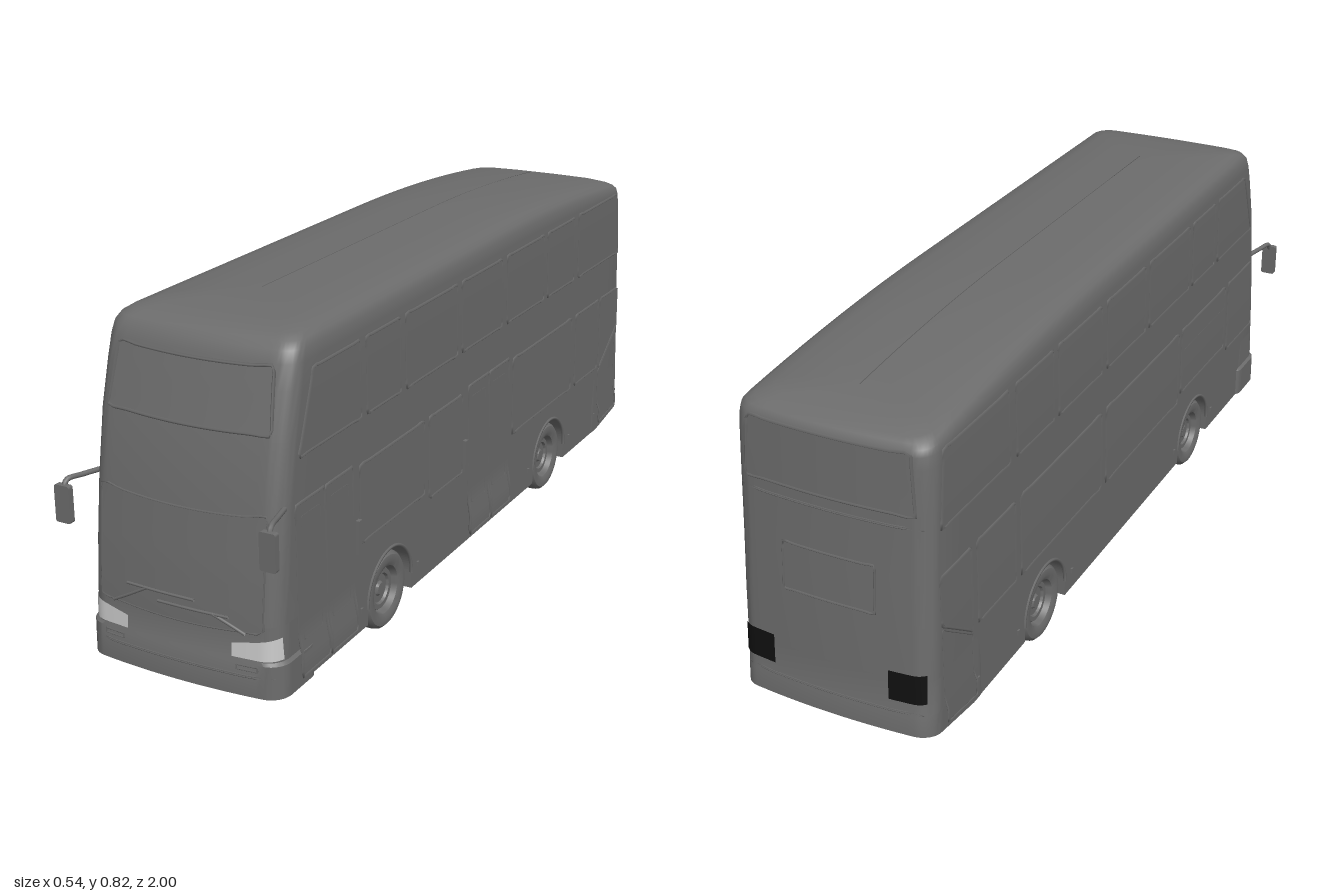
import * as THREE from 'three';
import { toCreasedNormals } from 'three/addons/utils/BufferGeometryUtils.js';

const paint = (color) => new THREE.MeshStandardMaterial({ color, side: THREE.DoubleSide });
const clamp = THREE.MathUtils.clamp;

// Body profile, bottom to roof ridge: [y, front z, back z, half width]
const PROFILE = [
  [0.055, 0.967, -1.0, 0.243], [0.13, 0.965, -0.997, 0.243], [0.136, 0.961, -0.995, 0.236],
  [0.215, 0.958, -0.991, 0.235], [0.32, 0.949, -0.985, 0.235], [0.45, 0.934, -0.976, 0.234],
  [0.6, 0.907, -0.966, 0.234], [0.7, 0.878, -0.96, 0.233], [0.75, 0.863, -0.957, 0.231],
  [0.775, 0.852, -0.953, 0.228], [0.79, 0.837, -0.945, 0.22], [0.8, 0.812, -0.933, 0.206],
  [0.808, 0.76, -0.9, 0.175], [0.814, 0.68, -0.86, 0.1], [0.817, 0.6, -0.82, 0.001],
];

function profileAt(y) {
  let i = 0;
  while (i < PROFILE.length - 2 && PROFILE[i + 1][0] < y) i++;
  const a = PROFILE[i], b = PROFILE[i + 1], t = clamp((y - a[0]) / (b[0] - a[0]), 0, 1);
  return a.map((v, k) => v + (b[k] - v) * t);
}

const radius = (hw) => Math.min(0.04, hw / 2);
// The ends bow outward in plan
const bow = (x, z) => z - Math.sign(z) * 0.016 * (x / 0.235) ** 2 * clamp((Math.abs(z) - 0.7) / 0.2, 0, 1);

// Points on the body skin, given in-plane coordinates and a stand-off
const sideMap = (s) => (z, y, off) => new THREE.Vector3(s * (profileAt(y)[3] + off), y, z);
const endMap = (s) => (x, y, off) => {
  const [, zf, zb, hw] = profileAt(y), r = radius(hw);
  const d = clamp(Math.abs(x) - (hw - r), 0, r);
  const z = (s > 0 ? zf : -zb) - r + Math.sqrt(r * r - d * d);
  return new THREE.Vector3(x, y, bow(x, s * z) + s * off);
};

// Rounded plan outline of one level
function ring([y, zf, zb, hw]) {
  const r = radius(hw), pts = [], corners = [[1, zf - r], [-1, zf - r], [-1, zb + r], [1, zb + r]];
  corners.forEach(([sx, zc], k) => {
    for (let i = 0; i <= 8; i++) {
      const a = (k + i / 8) * Math.PI / 2;
      pts.push([sx * (hw - r) + r * Math.cos(a), zc + r * Math.sin(a)]);
    }
    const [nx, nz] = corners[(k + 1) % 4], a = (k + 1) * Math.PI / 2;
    const p = pts[pts.length - 1], q = [nx * (hw - r) + r * Math.cos(a), nz + r * Math.sin(a)];
    for (let i = 1; i < 24; i++) pts.push([p[0] + (q[0] - p[0]) * i / 24, p[1] + (q[1] - p[1]) * i / 24]);
  });
  return pts.map(([x, z0]) => {
    const z = bow(x, z0);
    const drop = 0.045 * (Math.max(0, -z - 0.2) / 0.75) ** 2 * clamp((y - 0.7) / 0.1, 0, 1);
    const lift = 0.03 * clamp((-z - 0.8) / 0.2, 0, 1) * clamp((0.13 - y) / 0.07, 0, 1);
    return [x, y - drop + lift, z];
  });
}

function loft(levels) {
  const rings = levels.map(ring), n = rings[0].length, index = [];
  for (let j = 0; j < rings.length - 1; j++)
    for (let i = 0; i < n; i++) {
      const a = j * n + i, b = j * n + (i + 1) % n;
      index.push(a, a + n, b, b, a + n, b + n);
    }
  const c = rings.length * n, [y, zf, zb] = levels[0];
  for (let i = 0; i < n; i++) index.push(c, i, (i + 1) % n);
  const g = new THREE.BufferGeometry();
  g.setAttribute('position', new THREE.Float32BufferAttribute([...rings.flat(2), 0, y, (zf + zb) / 2], 3));
  g.setIndex(index);
  return toCreasedNormals(g, 0.6);
}

export function createModel() {
  const bus = new THREE.Group();
  const grey = paint(0x6c6c6c), light = paint(0xcccccc), black = paint(0x101010);
  const add = (name, geo, mat = grey, x = 0, y = 0, z = 0, parent = bus) => {
    const m = new THREE.Mesh(geo, mat);
    m.name = name;
    m.position.set(x, y, z);
    parent.add(m);
    return m;
  };
  const box = (name, w, h, d, x, y, z, mat) => add(name, new THREE.BoxGeometry(w, h, d), mat, x, y, z);

  // Skin-hugging panel; corners run bottom start, bottom end, top end, top start; sag bends the rows
  const blend = (c, u, v, sag) => [0, 1].map((k) =>
    (c[0][k] * (1 - u) + c[1][k] * u) * (1 - v) + (c[3][k] * (1 - u) + c[2][k] * u) * v - k * sag * 4 * u * (1 - u));
  const patch = (name, map, c, mat = grey, off = 0.002, sag = 0) => {
    const g = new THREE.PlaneGeometry(1, 1, 14, 10), p = g.attributes.position;
    for (let i = 0; i < p.count; i++) {
      const q = map(...blend(c, p.getX(i) + 0.5, p.getY(i) + 0.5, sag), off);
      p.setXYZ(i, q.x, q.y, q.z);
    }
    g.computeVertexNormals();
    add(name, g, mat);
  };
  const frame = (name, map, c, r = 0.003, sag = 0) => {
    const pts = [];
    for (const [u0, v0, du, dv] of [[0, 0, 1, 0], [1, 0, 0, 1], [1, 1, -1, 0], [0, 1, 0, -1]])
      for (let i = 0; i < 8; i++) pts.push(map(...blend(c, u0 + du * i / 8, v0 + dv * i / 8, sag), 0.001));
    add(name, new THREE.TubeGeometry(new THREE.CatmullRomCurve3(pts, true), 64, r, 4, true), grey);
  };
  const pane = (name, map, c, sag = 0) => {
    patch(name, map, c, grey, 0.002, sag);
    frame(name + 'Frame', map, c, 0.004, sag);
  };
  const rect = (a, b, y0, y1) => [[a, y0], [b, y0], [b, y1], [a, y1]];

  // Shell: upper body, bumpers, and a skirt with open wheel arches
  const low = PROFILE.slice(0, 4), WHEELS = [0.465, -0.45];
  add('upperBody', loft(PROFILE.slice(3)));
  add('frontBumper', loft(low.map(([y, f, , w]) => [y, f, 0.8, w])));
  add('rearBumper', loft(low.map(([y, , b, w]) => [y, -0.74, b, Math.min(w, 0.236)])));
  const skirt = new THREE.Shape();
  skirt.moveTo(-0.86, 0.055);
  for (const z of WHEELS) {
    skirt.lineTo(-z - 0.105, 0.055);
    skirt.lineTo(-z - 0.105, 0.095);
    skirt.absarc(-z, 0.095, 0.105, Math.PI, 0, true);
    skirt.lineTo(-z + 0.105, 0.055);
  }
  skirt.lineTo(0.8, 0.055).lineTo(0.8, 0.216).lineTo(-0.86, 0.216);
  const skirtGeo = new THREE.ExtrudeGeometry(skirt, { depth: 0.47, bevelEnabled: false, curveSegments: 28 });
  add('skirt', skirtGeo.translate(0, 0, -0.235).rotateY(Math.PI / 2));
  box('underbody', 0.2, 0.155, 1.2, 0, 0.135, 0);

  // Wheels: tyre, rim rings and hub in one lathe
  const wheelProfile = [[0, 0.1], [0.014, 0.1], [0.018, 0.094], [0.034, 0.094], [0.037, 0.1], [0.048, 0.1],
    [0.052, 0.092], [0.057, 0.112], [0.07, 0.118], [0.084, 0.116], [0.091, 0.109], [0.093, 0.1],
    [0.093, 0.008], [0.088, 0], [0, 0]].reverse().map(([r, h]) => new THREE.Vector2(r, h));
  const wheelGeo = toCreasedNormals(new THREE.LatheGeometry(wheelProfile, 40).rotateZ(-Math.PI / 2), 0.6);
  for (const s of [1, -1])
    for (const z of WHEELS) {
      add('wheel', wheelGeo, grey, s * 0.112, 0.094, z).rotation.y = s > 0 ? 0 : Math.PI;
      add('archLip', new THREE.TorusGeometry(0.106, 0.004, 6, 32, Math.PI).rotateY(Math.PI / 2), grey, s * 0.235, 0.095, z);
    }

  // Upper deck side windows, both sides
  for (const s of [1, -1]) {
    const map = sideMap(s);
    pane('upperFrontWindow', map, [[0.595, 0.56], [0.85, 0.56], [0.785, 0.73], [0.595, 0.73]]);
    for (const [a, b] of [[0.415, 0.565], [0.13, 0.385], [-0.12, 0.1], [-0.38, -0.155], [-0.585, -0.41]])
      pane('upperWindow', map, rect(a, b, 0.56, 0.73));
    pane('upperRearWindow', map, [[-0.915, 0.56], [-0.62, 0.56], [-0.62, 0.73], [-0.895, 0.73]]);
    pane('lowerRearWindow', map, [[-0.925, 0.335], [-0.8, 0.245], [-0.8, 0.45], [-0.925, 0.45]]);
    frame('rearFlap', map, [[-0.925, 0.095], [-0.8, 0.08], [-0.8, 0.235], [-0.925, 0.325]], 0.002);
    for (const z of [0.6, 0.33, -0.31, -0.59, -0.78])
      box('markerLamp', 0.006, 0.012, 0.008, s * 0.236, 0.105, z, grey);
  }

  // Lower deck, right side
  const right = sideMap(-1), left = sideMap(1);
  pane('cabWindow', right, [[0.7, 0.25], [0.89, 0.25], [0.87, 0.45], [0.7, 0.45]]);
  for (const [a, b, y] of [[0.36, 0.67, 0.27], [-0.12, 0.335, 0.25], [-0.57, -0.15, 0.25], [-0.77, -0.6, 0.25]])
    pane('lowerWindow', right, rect(a, b, y, 0.45));
  frame('openingLight', right, rect(0.36, 0.67, 0.39, 0.45), 0.002);

  // Lower deck, left side, with front and middle doors
  for (const [a, b, y] of [[-0.78, -0.62, 0.25], [-0.585, -0.2, 0.25], [0.1, 0.27, 0.25], [0.3, 0.6, 0.27]])
    pane('lowerWindow', left, rect(a, b, y, 0.45));
  for (const [a, b] of [[-0.17, -0.06], [-0.05, 0.06], [0.635, 0.745], [0.755, 0.865]]) {
    pane('doorLeaf', left, rect(a, b, 0.075, 0.46));
    frame('doorGlass', left, rect(a + 0.018, b - 0.018, 0.15, 0.43), 0.002);
  }
  for (const z of [0.085, 0.615]) box('doorPost', 0.012, 0.08, 0.014, 0.238, 0.29, z, grey);

  // Front: windscreens, lamps, bumper line
  const front = endMap(1), rear = endMap(-1);
  pane('upperWindscreen', front, [[-0.198, 0.614], [0.198, 0.614], [0.187, 0.745], [-0.187, 0.745]], 0.006);
  const screen = [[-0.2, 0.203], [0.2, 0.203], [0.203, 0.449], [-0.203, 0.449]];
  patch('lowerWindscreen', front, screen, grey, 0.002, 0.011);
  frame('windscreenSeal', front, screen, 0.0025, 0.011);
  for (const s of [1, -1]) {
    patch('headlight', front, [[s * 0.13, 0.14], [s * 0.234, 0.14], [s * 0.232, 0.19], [s * 0.13, 0.17]], light, 0.003);
    frame('fogLamp', front, rect(s * 0.142, s * 0.19, 0.115, 0.125), 0.002);
  }
  frame('bumperStrip', front, rect(-0.225, 0.225, 0.1, 0.103), 0.002);

  // Wipers: blade and arm
  const rod = (name, points, r, map = front) => {
    const curve = new THREE.CatmullRomCurve3(points.map(([u, v]) => map(u, v, 0.008)));
    add(name, new THREE.TubeGeometry(curve, 12, r, 6));
  };
  rod('wiperBlade', [[-0.125, 0.248], [-0.04, 0.248], [0.045, 0.248]], 0.0035);
  rod('wiperArm', [[-0.163, 0.2], [-0.12, 0.223], [-0.075, 0.248]], 0.0035);
  rod('wiperBlade', [[-0.045, 0.227], [0.04, 0.227], [0.127, 0.227]], 0.0035);
  rod('wiperArm', [[0.165, 0.197], [0.13, 0.212], [0.09, 0.227]], 0.0035);

  // Mirrors: arm reaching forward, hanging head
  const head = new THREE.Shape();
  head.moveTo(-0.013, -0.042).lineTo(0.013, -0.042).quadraticCurveTo(0.019, -0.042, 0.019, -0.036);
  head.lineTo(0.019, 0.036).quadraticCurveTo(0.019, 0.042, 0.013, 0.042).lineTo(-0.013, 0.042);
  head.quadraticCurveTo(-0.019, 0.042, -0.019, 0.036).lineTo(-0.019, -0.036).quadraticCurveTo(-0.019, -0.042, -0.013, -0.042);
  const headGeo = new THREE.ExtrudeGeometry(head, { depth: 0.014, bevelEnabled: false });
  for (const s of [1, -1]) {
    const path = [[0.226, 0.463, 0.895], [0.238, 0.465, 0.94], [0.249, 0.465, 0.982], [0.25, 0.45, 0.991]];
    const curve = new THREE.CatmullRomCurve3(path.map(([x, y, z]) => new THREE.Vector3(s * x, y, z)));
    add('mirrorArm', new THREE.TubeGeometry(curve, 16, 0.006, 8));
    add('mirrorHead', headGeo, grey, s * 0.25, 0.416, 0.986);
  }

  // Rear: window, plate panel, lamps and seams
  pane('rearWindow', rear, [[-0.2, 0.6], [0.2, 0.6], [0.19, 0.735], [-0.19, 0.735]]);
  frame('engineHatch', rear, rect(-0.11, 0.11, 0.36, 0.47), 0.003);
  frame('rearSeam', rear, rect(-0.215, 0.215, 0.57, 0.573), 0.002);
  frame('rearBumperSeam', rear, rect(-0.215, 0.215, 0.136, 0.139), 0.002);
  for (const s of [1, -1]) patch('tailLamp', rear, rect(s * 0.14, s * 0.222, 0.165, 0.235), black, 0.004);
  return bus;
}
